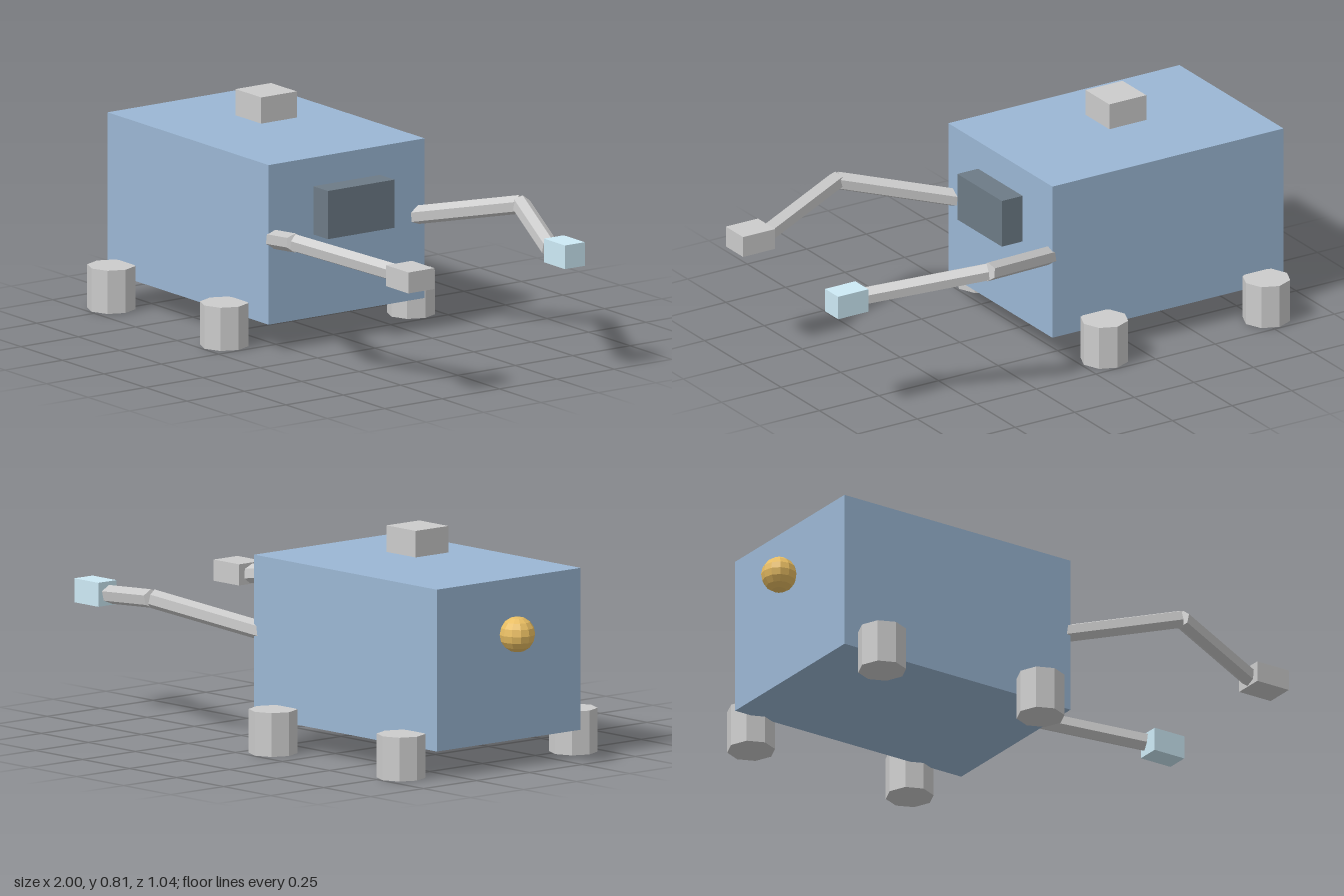
import * as THREE from 'three';

const material = (color) => new THREE.MeshStandardMaterial({ color, flatShading: true });

export function createModel() {
  const model = new THREE.Group();
  const grey = material(0xcccccc);
  const blue = material(0x9bb7d4);
  const paleBlue = material(0xcdeaf6);
  const slate = material(0x6d7b86);
  const gold = material(0xe8bd62);

  const add = (name, geometry, mat, x, y, z) => {
    const mesh = new THREE.Mesh(geometry, mat);
    mesh.name = name;
    mesh.position.set(x, y, z);
    model.add(mesh);
    return mesh;
  };
  const box = (name, mat, [w, h, d], [x, y, z]) =>
    add(name, new THREE.BoxGeometry(w, h, d), mat, x, y, z);

  // Six-sided rod between two points
  const rod = (name, a, b, radius) => {
    const dir = b.clone().sub(a);
    const mid = a.clone().add(b).multiplyScalar(0.5);
    const mesh = add(name, new THREE.CylinderGeometry(radius, radius, dir.length(), 6), grey, mid.x, mid.y, mid.z);
    mesh.quaternion.setFromUnitVectors(new THREE.Vector3(0, 1, 0), dir.normalize());
  };

  // Body, screen at the +x end, and the block hovering above
  box('body', blue, [0.97, 0.58, 0.68], [-0.405, 0.39, 0]);
  box('screen', slate, [0.11, 0.175, 0.29], [0.112, 0.4875, 0]);
  box('topBlock', grey, [0.155, 0.095, 0.155], [-0.405, 0.76, 0]);

  // Round knob at the -x end
  add('knob', new THREE.SphereGeometry(0.064, 12, 8), gold, -0.936, 0.487, 0);

  // Four octagonal feet
  for (const x of [-0.775, -0.095]) {
    for (const side of [-1, 1]) {
      add('foot', new THREE.CylinderGeometry(0.086, 0.086, 0.157, 8), grey, x, 0.0785, side * 0.407);
    }
  }

  // Two bent arms
  for (const side of [-1, 1]) {
    const shoulder = new THREE.Vector3(0.03, 0.395, side * 0.29);
    const elbow = new THREE.Vector3(0.45, 0.492, side * 0.492);
    const wrist = new THREE.Vector3(0.86, 0.435, side * 0.325);
    rod('upperArm', shoulder, elbow, 0.034);
    rod('forearm', elbow, wrist, 0.034);
  }

  // Unmatched hands
  box('greyHand', grey, [0.135, 0.076, 0.113], [0.917, 0.437, 0.329]);
  box('blueHand', paleBlue, [0.127, 0.086, 0.086], [0.936, 0.437, -0.329]);

  return model;
}
